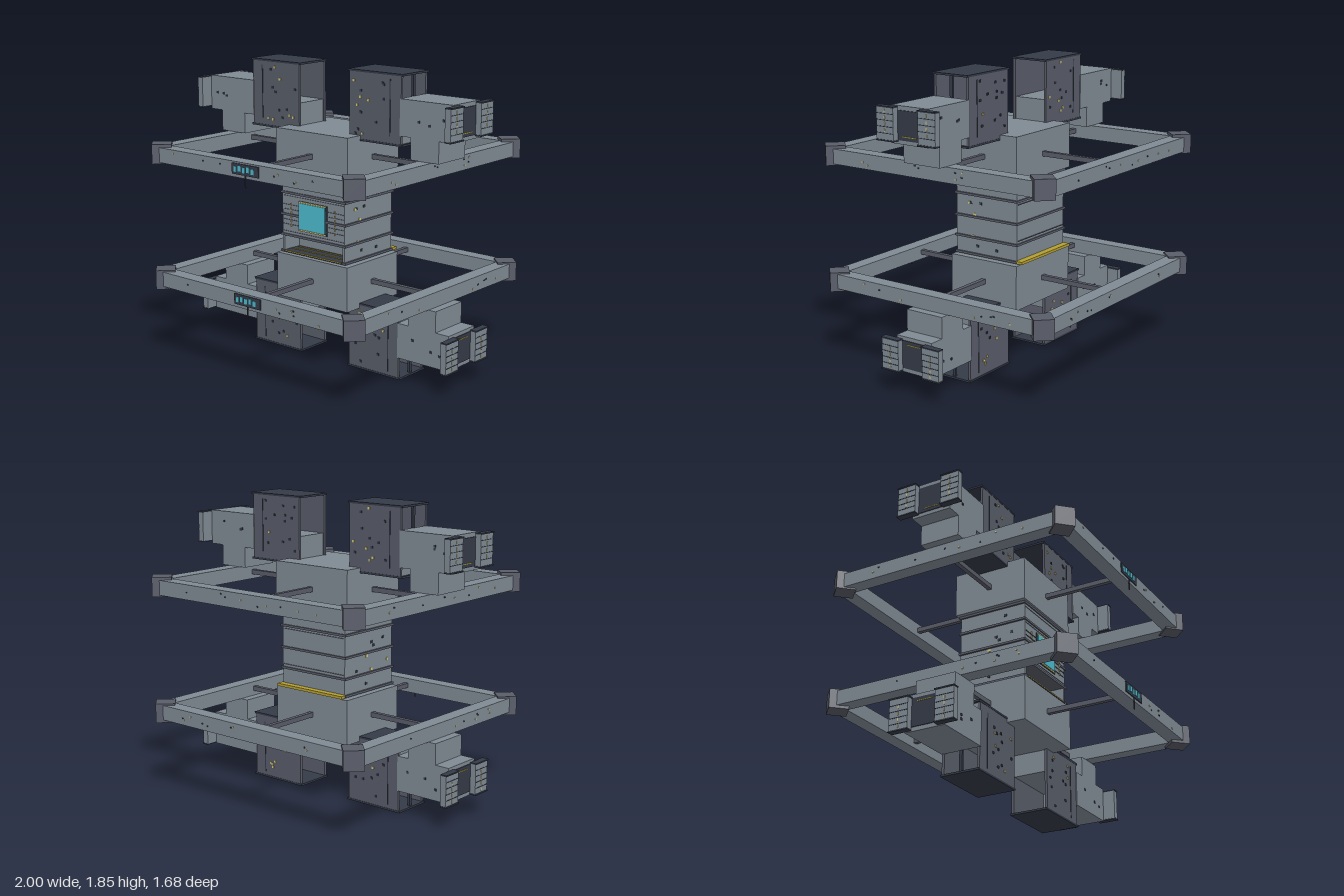
import * as THREE from 'three';

const mat = (name, color) => {
  const m = new THREE.MeshStandardMaterial({ color });
  m.name = name;
  return m;
};

export function createModel() {
  const hull = mat('hull grey', 0x808a94), slate = mat('slate', 0x595d69), navy = mat('navy', 0x343a47);
  const cyan = mat('screen cyan', 0x4dbccf), yellow = mat('pale yellow', 0xd8c978), ochre = mat('ochre', 0xb5a032);
  const root = new THREE.Group();
  root.name = 'station';

  // Box given by its extents
  function box(parent, name, m, x0, x1, y0, y1, z0, z1) {
    const g = new THREE.BoxGeometry(Math.abs(x1 - x0), Math.abs(y1 - y0), Math.abs(z1 - z0));
    const mesh = new THREE.Mesh(g, m);
    mesh.position.set((x0 + x1) / 2, (y0 + y1) / 2, (z0 + z1) / 2);
    mesh.name = name;
    parent.add(mesh);
    return mesh;
  }
  let seed = 7;
  const rnd = () => (seed = (seed * 16807) % 2147483647) / 2147483647;
  const between = (a, b) => a + (b - a) * rnd();

  // Small hatches and lamps scattered on a face of constant z
  function hatches(parent, n, x0, x1, y0, y1, z, lampShare, size = 0.014) {
    for (let i = 0; i < n; i++) {
      const x = between(x0, x1), y = between(y0, y1), h = size / 2;
      const lamp = rnd() < lampShare;
      box(parent, lamp ? 'lamp' : 'hatch', lamp ? yellow : navy, x - h, x + h, y - h, y + h, z - 0.004, z + 0.004);
    }
  }

  const mid = 0.925;

  for (const s of [1, -1]) {
    const deck = new THREE.Group();
    deck.name = s > 0 ? 'upperDeck' : 'lowerDeck';
    root.add(deck);
    const Y = y => mid + s * (y - mid); // mirrors a height to the lower deck

    // Hub and square ring
    box(deck, 'hub', hull, -0.285, 0.285, Y(1.18), Y(1.46), -0.245, 0.245);
    for (const t of [1, -1]) {
      box(deck, 'ringBeam', hull, -0.74, 0.74, Y(1.27), Y(1.362), t * 0.715, t * 0.808);
      box(deck, 'ringBeam', hull, t * 0.715, t * 0.808, Y(1.27), Y(1.362), -0.74, 0.74);
      box(deck, 'spoke', slate, -0.014, 0.014, Y(1.3), Y(1.33), t * 0.24, t * 0.72);
      box(deck, 'spoke', slate, t * 0.28, t * 0.72, Y(1.3), Y(1.33), -0.014, 0.014);
      hatches(deck, 9, -0.6, 0.6, Y(1.29), Y(1.345), t * 0.808, 0.5, 0.008);
      for (let i = 0; i < 8; i++) {
        const z = between(-0.6, 0.6), y = Y(between(1.29, 1.345));
        box(deck, 'beamLamp', i % 2 ? yellow : navy, t * 0.804, t * 0.812, y - 0.004, y + 0.004, z - 0.005, z + 0.005);
      }
      for (const u of [1, -1]) {
        const c = box(deck, 'ringCorner', slate, -0.06, 0.06, Y(1.26), Y(1.38), -0.06, 0.06);
        c.position.x = t * 0.755;
        c.position.z = u * 0.755;
        c.rotation.y = Math.PI / 4;
      }
    }

    // Sign panel and mast on the front beam
    const py = Y(1.316) + 0.005;
    box(deck, 'signPanel', navy, -0.105, 0.105, py - 0.032, py + 0.032, 0.806, 0.814);
    for (let i = 0; i < 5; i++) {
      const x = -0.078 + i * 0.034, d = (i % 2) * 0.006;
      box(deck, 'signCell', cyan, x - 0.011, x + 0.011, py - 0.018 + d, py + 0.014 + d, 0.812, 0.817);
    }
    box(deck, 'mast', navy, -0.003, 0.003, py - 0.105, py - 0.03, 0.808, 0.814);

    // Pods with docking arms on both sides
    for (const t of [1, -1]) {
      const pod = new THREE.Group();
      pod.name = t > 0 ? 'leftPod' : 'rightPod';
      deck.add(pod);
      const b = (name, m, x0, x1, y0, y1, z0, z1) => box(pod, name, m, t * x0, t * x1, Y(y0), Y(y1), z0, z1);
      b('podRoof', navy, 0.19, 0.597, 1.838, 1.85, -0.127, 0.127);
      b('podFloor', navy, 0.19, 0.597, 1.428, 1.44, -0.127, 0.127);
      b('podCore', hull, 0.21, 0.58, 1.44, 1.6, -0.11, 0.11);
      b('podPost', navy, 0.57, 0.585, 1.6, 1.84, -0.01, 0.01);
      for (const u of [1, -1]) {
        b('podWall', slate, 0.2, 0.585, 1.435, 1.845, u * 0.108, u * 0.125);
        b('podSeam', navy, 0.502, 0.508, 1.48, 1.815, u * 0.122, u * 0.128);
        hatches(pod, 13, t * 0.23, t * 0.48, Y(1.47), Y(1.82), u * 0.126, 0.4);
        hatches(pod, 3, t * 0.65, t * 0.9, Y(1.57), Y(1.65), u * 0.13, 0);
        // Docking pads at the arm tip
        b('dockPad', hull, 0.955, 0.995, 1.515, 1.7, u * 0.088, u * 0.21);
        b('padRim', navy, 0.957, 1.0, 1.698, 1.706, u * 0.085, u * 0.213);
        b('padRim', navy, 0.957, 1.0, 1.507, 1.515, u * 0.085, u * 0.213);
        for (let i = 1; i < 5; i++) {
          const y = 1.515 + i * 0.037;
          b('padGroove', navy, 0.992, 0.997, y - 0.002, y + 0.002, u * 0.088, u * 0.21);
          b('padLamp', yellow, 0.992, 0.998, y + 0.007, y + 0.025, u * 0.147, u * 0.152);
        }
      }
      b('dockArm', hull, 0.58, 0.955, 1.492, 1.71, -0.13, 0.13);
      b('dockHatch', navy, 0.952, 0.96, 1.515, 1.685, -0.085, 0.085);
      b('dockLine', ochre, 0.957, 0.963, 1.535, 1.539, -0.05, 0.05);
      b('armLeg', hull, 0.66, 0.86, 1.362, 1.5, -0.13, 0.13);
    }
  }

  // Central column
  const column = new THREE.Group();
  column.name = 'column';
  root.add(column);
  box(column, 'columnCore', hull, -0.25, 0.25, 0.79, 1.18, -0.225, 0.228);
  box(column, 'bayBack', hull, -0.25, 0.25, 0.68, 0.79, -0.225, 0.09);
  for (const t of [1, -1]) box(column, 'bayWall', hull, t * 0.235, t * 0.25, 0.68, 0.79, 0.09, 0.228);
  box(column, 'bayFloor', navy, -0.235, 0.235, 0.68, 0.688, 0.09, 0.236);
  for (const z of [0.11, 0.165, 0.232]) box(column, 'bayStripe', ochre, -0.225, 0.225, 0.686, 0.691, z - 0.005, z + 0.005);
  box(column, 'rearSill', ochre, -0.26, 0.26, 0.678, 0.695, -0.268, -0.225);
  for (const y of [1.17, 1.06, 0.922, 0.792]) box(column, 'columnBand', slate, -0.262, 0.262, y - 0.007, y + 0.007, -0.233, 0.235);
  for (const t of [1, -1]) {
    box(column, 'columnBand', slate, t * 0.235, t * 0.262, 0.679, 0.693, -0.233, 0.235);
    for (let i = 0; i < 9; i++) {
      const z = between(-0.19, 0.19), y = between(0.72, 1.14);
      box(column, 'sideHatch', i % 4 ? navy : yellow, t * 0.247, t * 0.254, y - 0.008, y + 0.008, z - 0.009, z + 0.009);
    }
    for (const y of [1.04, 1.145, 0.815]) box(column, 'frontRail', slate, -0.24, 0.24, y - 0.002, y + 0.002, t * 0.222, t * 0.231);
    for (const y of [0.86, 0.89, 0.955, 0.985]) box(column, 'frontRail', slate, t * 0.11, t * 0.24, y - 0.002, y + 0.002, 0.225, 0.232);
    for (let i = 0; i < 6; i++) box(column, 'guideLamp', yellow, t * 0.173, t * 0.179, 0.85 + i * 0.027, 0.864 + i * 0.027, 0.23, 0.237);
  }

  // Main window with lit trim
  box(column, 'windowFrame', navy, -0.115, 0.115, 0.832, 1.02, 0.226, 0.234);
  box(column, 'window', cyan, -0.105, 0.103, 0.845, 1.01, 0.233, 0.24);
  for (const y of [0.838, 1.015]) box(column, 'windowTrim', yellow, -0.11, 0.11, y - 0.004, y + 0.004, 0.232, 0.239);
  return root;
}
